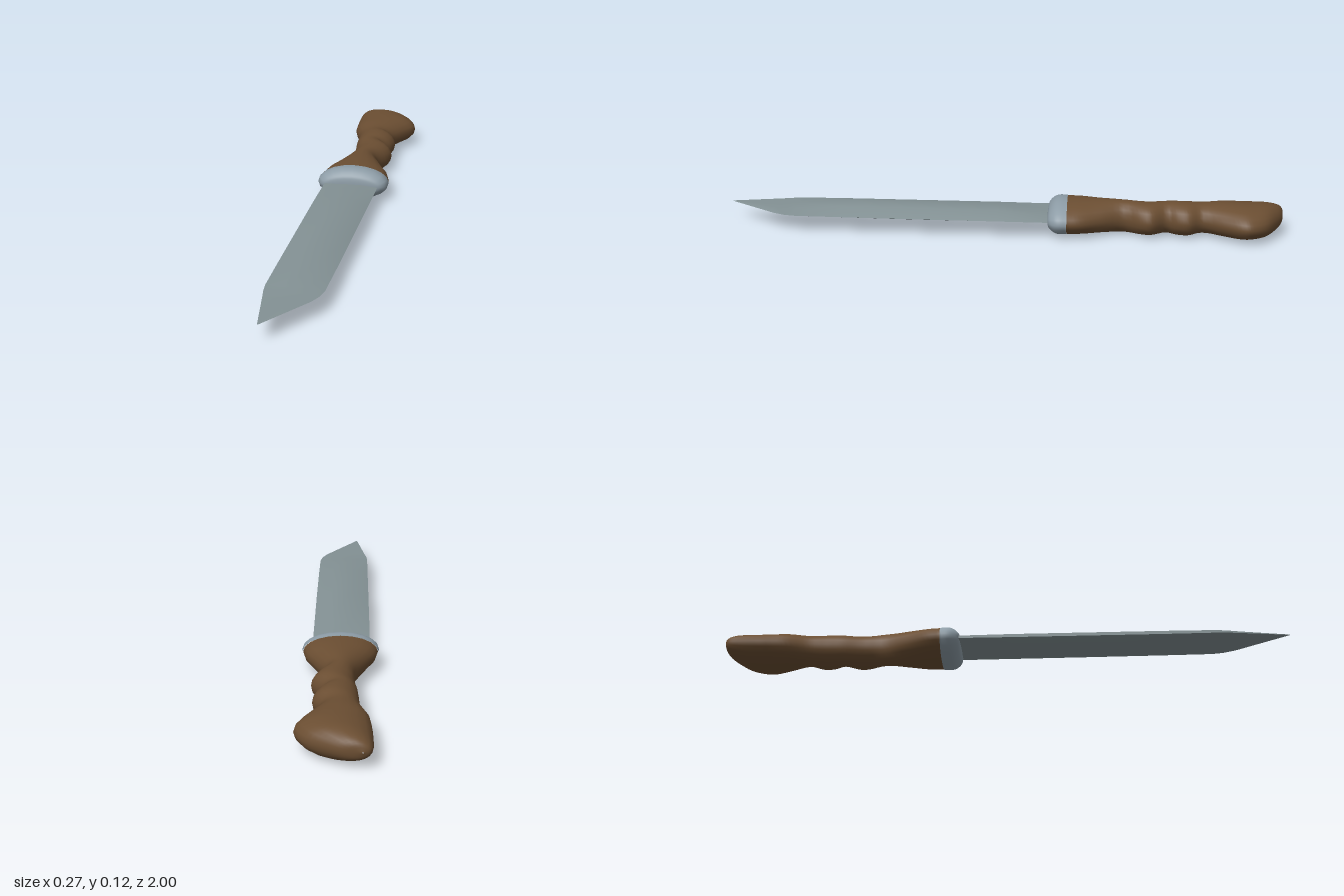
import * as THREE from 'three';
import { toCreasedNormals } from 'three/addons/utils/BufferGeometryUtils.js';

const MID_Y = 0.064;

// Skin over closed rings of [x, y, z], ordered by rising z
function loft(rings) {
  const n = rings[0].length;
  const index = [];
  for (let i = 0; i < rings.length - 1; i++) {
    for (let j = 0; j < n; j++) {
      const k = (j + 1) % n;
      const a = i * n + j, b = i * n + k, c = b + n, d = a + n;
      index.push(a, b, c, a, c, d);
    }
  }
  const geometry = new THREE.BufferGeometry();
  geometry.setAttribute('position', new THREE.Float32BufferAttribute(rings.flat(2), 3));
  geometry.setIndex(index);
  geometry.computeVertexNormals();
  return geometry;
}

// Elliptical rings from sections [z, xMin, xMax, halfHeight], splined along z
function ovalLoft(sections, steps, sides) {
  const outline = new THREE.CatmullRomCurve3(
    sections.map(([z, a, b]) => new THREE.Vector3(a, b, z)), false, 'catmullrom', 0.5);
  const height = new THREE.CatmullRomCurve3(
    sections.map((s) => new THREE.Vector3(s[3], 0, 0)), false, 'catmullrom', 0.5);
  const rings = [];
  for (let i = 0; i <= steps; i++) {
    const p = outline.getPoint(i / steps);
    const h = height.getPoint(i / steps).x;
    const ring = [];
    for (let j = 0; j < sides; j++) {
      const t = (j / sides) * Math.PI * 2;
      ring.push([(p.x + p.y) / 2 + Math.cos(t) * (p.y - p.x) / 2, MID_Y + Math.sin(t) * h, p.z]);
    }
    rings.push(ring);
  }
  return loft(rings);
}

export function createModel() {
  const wood = new THREE.MeshStandardMaterial({ name: 'brown wood', color: 0x6b4e32 });
  const steel = new THREE.MeshStandardMaterial({ name: 'blade steel', color: 0x839194 });
  const guardMetal = new THREE.MeshStandardMaterial({ name: 'guard metal', color: 0x8d9ca6 });

  const group = new THREE.Group();
  group.name = 'knife';
  const add = (name, geometry, material) => {
    const mesh = new THREE.Mesh(geometry, material);
    mesh.name = name;
    group.add(mesh);
  };

  // Handle with finger grooves and a flared, slanted butt
  add('handle', ovalLoft([
    [-1.0, -0.078, -0.072, 0.002],
    [-0.992, -0.098, -0.015, 0.026],
    [-0.97, -0.106, 0.035, 0.042],
    [-0.93, -0.107, 0.098, 0.054],
    [-0.88, -0.106, 0.13, 0.058],
    [-0.84, -0.104, 0.13, 0.059],
    [-0.78, -0.098, 0.096, 0.058],
    [-0.71, -0.073, 0.058, 0.054],
    [-0.66, -0.067, 0.082, 0.059],
    [-0.62, -0.065, 0.075, 0.059],
    [-0.58, -0.062, 0.054, 0.056],
    [-0.53, -0.055, 0.088, 0.058],
    [-0.49, -0.053, 0.08, 0.058],
    [-0.43, -0.056, 0.046, 0.058],
    [-0.35, -0.09, 0.08, 0.059],
    [-0.28, -0.122, 0.114, 0.059],
    [-0.23, -0.132, 0.124, 0.058],
  ], 64, 20), wood);

  // Rounded guard collar closing the front of the handle
  add('guard', ovalLoft([
    [-0.23, -0.133, 0.125, 0.059],
    [-0.205, -0.136, 0.127, 0.06],
    [-0.185, -0.13, 0.121, 0.054],
    [-0.168, -0.112, 0.104, 0.038],
    [-0.162, -0.08, 0.075, 0.022],
    [-0.16, -0.008, 0.003, 0.001],
  ], 20, 20), guardMetal);

  // Blade sections: [z, spine x, edge x, half thickness, spine half thickness]
  const blade = [
    [-0.18, -0.105, 0.093, 0.007, 0.005],
    [-0.12, -0.105, 0.093, 0.01, 0.005],
    [0.02, -0.106, 0.092, 0.021, 0.006],
    [0.3, -0.106, 0.09, 0.022, 0.006],
    [0.57, -0.106, 0.087, 0.021, 0.006],
    [0.74, -0.106, 0.084, 0.008, 0.005],
    [0.78, -0.102, 0.076, 0.005, 0.004],
    [0.82, -0.095, 0.058, 0.004, 0.003],
    [1.0, -0.066, -0.063, 0.0005, 0.0005],
  ].map(([z, spine, edge, t, s]) => {
    const x = (f) => spine + (edge - spine) * f;
    return [
      [edge, MID_Y, z],
      [x(0.7), MID_Y + t, z],
      [x(0.33), MID_Y + t, z],
      [spine, MID_Y + s, z],
      [spine, MID_Y - s, z],
      [x(0.33), MID_Y - t, z],
      [x(0.7), MID_Y - t, z],
    ];
  });
  add('blade', toCreasedNormals(loft(blade), 0.55), steel);

  return group;
}
